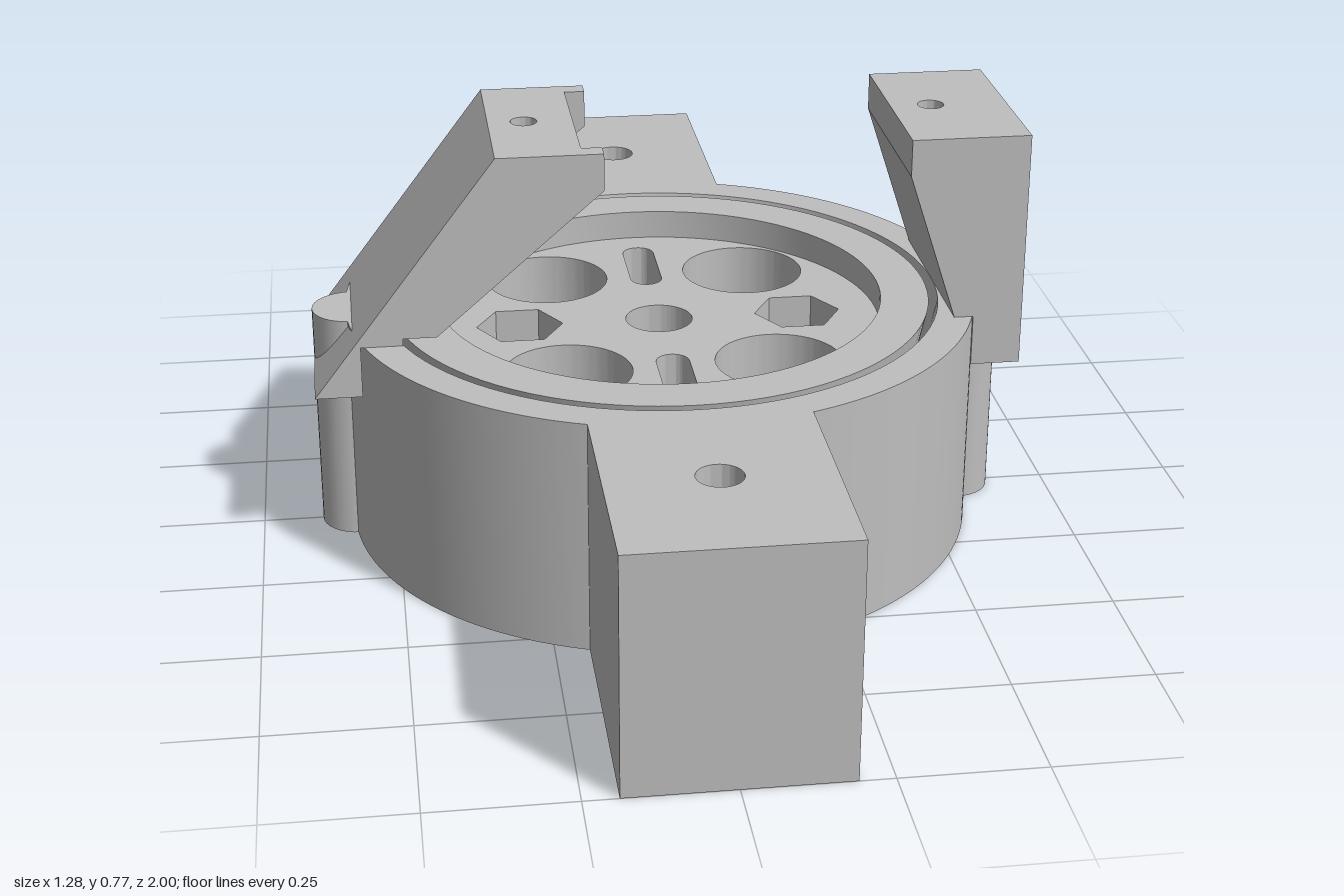
import * as THREE from 'three';
import { toCreasedNormals } from 'three/addons/utils/BufferGeometryUtils.js';

const H = 0.43;        // body height
const FLOOR = 0.375;   // recessed floor of the disc
const CLIP_Z = 0.19;   // half width of clips and ears

const grey = new THREE.MeshStandardMaterial({ color: 0xbebebe });
grey.name = 'grey';

function mesh(name, geometry) {
  const m = new THREE.Mesh(toCreasedNormals(geometry, 0.5), grey);
  m.name = name;
  return m;
}

const poly = (pts) => new THREE.Shape(pts.map(([x, y]) => new THREE.Vector2(x, y)));

function circle(x, y, r) {
  const p = new THREE.Path();
  p.absarc(x, y, r, 0, Math.PI * 2, true);
  return p;
}

// Plan shape raised from y0 to y1
function slab(name, shape, y0, y1) {
  const g = new THREE.ExtrudeGeometry(shape, { depth: y1 - y0, bevelEnabled: false, curveSegments: 48 });
  g.rotateX(-Math.PI / 2).translate(0, y0, 0);
  return mesh(name, g);
}

// Side profile (x, y) extruded from z0 to z1
function prism(name, pts, z0, z1) {
  const g = new THREE.ExtrudeGeometry(poly(pts), { depth: z1 - z0, bevelEnabled: false });
  return mesh(name, g.translate(0, 0, z0));
}

function lathe(name, pts) {
  return mesh(name, new THREE.LatheGeometry(pts.map(([x, y]) => new THREE.Vector2(x, y)), 96));
}

function post(name, x, height) {
  const g = new THREE.CylinderGeometry(0.07, 0.07, height, 32);
  return mesh(name, g.translate(x, height / 2, 0));
}

// Slot along z, with an optional round bulge on each long side
function slot(y, bulge) {
  const p = new THREE.Path();
  const w = 0.03, l = 0.065;
  p.moveTo(w, y - l);
  if (bulge) p.absarc(0, y, bulge, -Math.acos(w / bulge), Math.acos(w / bulge), false);
  p.absarc(0, y + l, w, 0, Math.PI, false);
  if (bulge) p.absarc(0, y, bulge, Math.PI - Math.acos(w / bulge), Math.PI + Math.acos(w / bulge), false);
  p.absarc(0, y - l, w, Math.PI, Math.PI * 2, false);
  return p;
}

function hexagon(x, r) {
  const pts = [];
  for (let i = 0; i < 6; i++) {
    const a = i * Math.PI / 3;
    pts.push(new THREE.Vector2(x + r * Math.cos(a), r * Math.sin(a)));
  }
  return new THREE.Path(pts);
}

// One layer of the perforated disc
function discLayer(name, y0, y1, bulge, hex) {
  const s = new THREE.Shape();
  s.absarc(0, 0, 0.412, 0, Math.PI * 2, false);
  s.holes.push(circle(0, 0, 0.062));
  for (const k of [-1, 1]) {
    s.holes.push(slot(k * 0.26, bulge));
    s.holes.push(hex ? hexagon(k * 0.26, 0.08) : circle(k * 0.26, 0, 0.04));
    for (const j of [-1, 1]) s.holes.push(circle(k * 0.19, j * 0.215, 0.115));
  }
  return slab(name, s, y0, y1);
}

export function createModel() {
  const root = new THREE.Group();
  root.name = 'clampRing';

  // Outer ring with two drilled ears
  const R = 0.58, a = Math.asin(CLIP_Z / R), q = Math.PI / 2;
  const body = new THREE.Shape();
  body.moveTo(-CLIP_Z, -1);
  body.lineTo(CLIP_Z, -1);
  body.absarc(0, 0, R, -q + a, q - a, false);
  body.lineTo(CLIP_Z, 1);
  body.lineTo(-CLIP_Z, 1);
  body.absarc(0, 0, R, q + a, 3 * q - a, false);
  body.closePath();
  body.holes.push(circle(0, 0, 0.515), circle(0, 0.76, 0.04), circle(0, -0.76, 0.04));
  root.add(slab('ringWithEars', body, 0, H));
  root.add(lathe('ringInnerRidge', [[0.515, H], [0.47, H / 2], [0.515, 0]]));

  // Captive disc: waisted rim and perforated plate
  const disc = new THREE.Group();
  disc.name = 'disc';
  disc.add(lathe('discRim', [[0.41, 0], [0.498, 0], [0.453, H / 2], [0.498, H], [0.41, H], [0.41, FLOOR - 0.01]]));
  disc.add(discLayer('discBottom', 0, 0.1, 0.05, false));
  disc.add(discLayer('discMiddle', 0.1, 0.26, 0, false));
  disc.add(discLayer('discTop', 0.26, FLOOR, 0, true));
  root.add(disc);

  // Posts beneath the clips
  root.add(post('leftPost', 0.57, 0.335), post('rightPost', -0.57, H));

  // Upright clip with a blind hole in its head
  const leftClip = new THREE.Group();
  leftClip.name = 'leftClip';
  const head = poly([[0.425, -CLIP_Z], [0.64, -CLIP_Z], [0.64, CLIP_Z], [0.425, CLIP_Z]]);
  head.holes.push(circle(0.5, 0, 0.024));
  leftClip.add(slab('leftClipHead', head, 0.705, 0.773));
  leftClip.add(prism('leftClipArm',
    [[0.55, 0.335], [0.64, 0.335], [0.64, 0.705], [0.425, 0.705], [0.515, H], [0.55, H]], -CLIP_Z, CLIP_Z));
  root.add(leftClip);

  // Leaning clip with a notched head
  const rightClip = new THREE.Group();
  rightClip.name = 'rightClip';
  const n = 0.155;
  const notched = poly([[-0.31, -CLIP_Z], [-0.12, -CLIP_Z], [-0.12, -n], [-0.157, -n],
    [-0.157, n], [-0.12, n], [-0.12, CLIP_Z], [-0.31, CLIP_Z]]);
  notched.holes.push(circle(-0.245, 0, 0.024));
  rightClip.add(slab('rightClipHead', notched, 0.705, 0.773));
  rightClip.add(prism('rightClipArm',
    [[-0.64, 0.335], [-0.555, 0.335], [-0.555, H], [-0.48, H], [-0.48, 0.443], [-0.42, 0.443],
      [-0.157, 0.673], [-0.157, 0.705], [-0.31, 0.705], [-0.31, 0.773]], -CLIP_Z, CLIP_Z));
  for (const [z0, z1] of [[-CLIP_Z, -n], [n, CLIP_Z]]) {
    rightClip.add(prism('rightClipProng', [[-0.157, 0.673], [-0.12, 0.705], [-0.157, 0.705]], z0, z1));
  }
  root.add(rightClip);

  return root;
}
